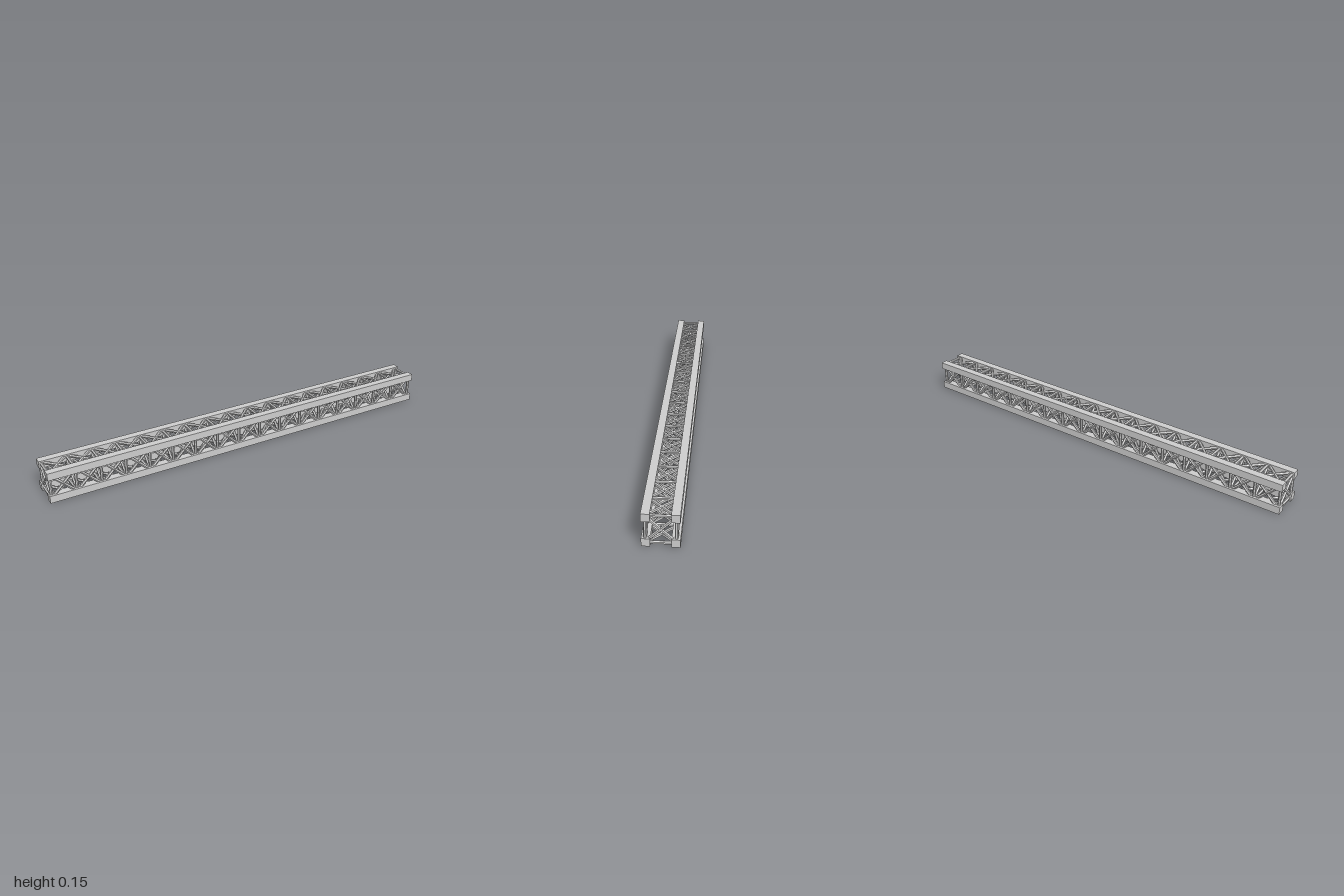
import * as THREE from 'three';

const BAYS = 17;
const END = 0.988;            // x of the last cross frame
const PITCH = (2 * END) / BAYS;
const MID = 0.074;            // height of the beam's axis
const CHORD = 0.035;          // chord thickness
const CZ = 0.0585, CY = 0.0565; // chord centre offsets from the axis
const FZ = 0.0605, FY = 0.0615; // bracing plane offsets from the axis
const ROD = 0.0072;

export function createModel() {
  const model = new THREE.Group();
  const material = new THREE.MeshStandardMaterial({ color: 0xcccccc, flatShading: true });
  const up = new THREE.Vector3(0, 1, 0);

  // Six-sided rod between two points given relative to the beam's axis
  function rod(parent, name, a, b, radius = ROD) {
    const from = new THREE.Vector3(...a), to = new THREE.Vector3(...b);
    const dir = to.clone().sub(from);
    const mesh = new THREE.Mesh(new THREE.CylinderGeometry(radius, radius, dir.length(), 6), material);
    mesh.name = name;
    mesh.position.copy(from).add(to).multiplyScalar(0.5);
    mesh.position.y += MID;
    mesh.quaternion.setFromUnitVectors(up, dir.normalize());
    parent.add(mesh);
  }

  // Four square chords along the full length
  for (const sy of [-1, 1]) for (const sz of [-1, 1]) {
    const chord = new THREE.Mesh(new THREE.BoxGeometry(2, CHORD, CHORD), material);
    chord.name = (sy > 0 ? 'upper' : 'lower') + (sz > 0 ? 'Front' : 'Back') + 'Chord';
    chord.position.set(0, MID + sy * CY, sz * CZ);
    model.add(chord);
  }

  // Cross frames: posts, cross bars and an inner X
  for (let i = 0; i <= BAYS; i++) {
    const frame = new THREE.Group();
    frame.name = 'crossFrame';
    const x = -END + i * PITCH;
    for (const s of [-1, 1]) {
      rod(frame, 'post', [x, -CY, s * FZ], [x, CY, s * FZ]);
      rod(frame, 'crossBar', [x, s * FY, -CZ], [x, s * FY, CZ]);
      rod(frame, 'innerBrace', [x, -CY, -s * CZ], [x, CY, s * CZ]);
    }
    model.add(frame);
  }

  // X bracing on all four faces of every bay
  for (let i = 0; i < BAYS; i++) {
    const bay = new THREE.Group();
    bay.name = 'bayBracing';
    const x0 = -END + i * PITCH, x1 = x0 + PITCH;
    for (const face of [-1, 1]) for (const s of [-1, 1]) {
      rod(bay, 'sideBrace', [x0, -s * CY, face * FZ], [x1, s * CY, face * FZ]);
      rod(bay, 'flatBrace', [x0, face * FY, -s * CZ], [x1, face * FY, s * CZ]);
    }
    model.add(bay);
  }
  return model;
}
